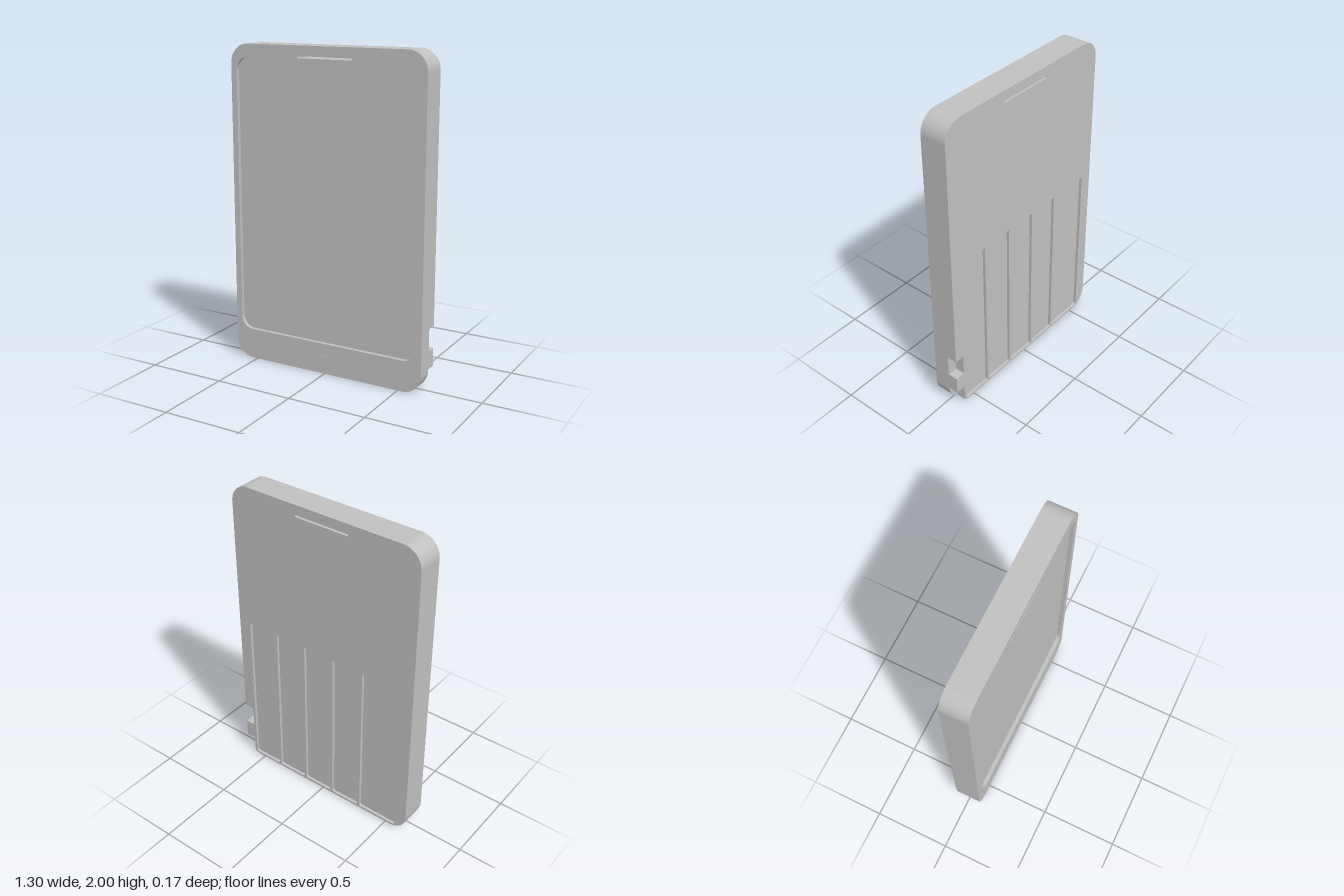
import * as THREE from 'three';

const W = 0.65, H = 2, R = 0.12;          // body half width, height, corner radius
const BACK = -0.085, FRONT = 0.085;
const NOTCH_X = 0.585, NOTCH_Z = -0.02;   // inner wall and floor of the side notches
const POCKET_Z = -0.067, SCREEN_Z = 0.06; // recess floors

// Rounded rectangle drawn counter-clockwise
function roundedRect(path, x0, y0, x1, y1, r) {
  path.moveTo(x0 + r, y0);
  path.lineTo(x1 - r, y0);
  path.absarc(x1 - r, y0 + r, r, -Math.PI / 2, 0);
  path.lineTo(x1, y1 - r);
  path.absarc(x1 - r, y1 - r, r, 0, Math.PI / 2);
  path.lineTo(x0 + r, y1);
  path.absarc(x0 + r, y1 - r, r, Math.PI / 2, Math.PI);
  path.lineTo(x0, y0 + r);
  path.absarc(x0 + r, y0 + r, r, Math.PI, Math.PI * 1.5);
  return path;
}

// Body outline with the two notches cut into the left (+x) edge
function notchedOutline() {
  const s = new THREE.Shape();
  const cx = W - R;
  s.moveTo(-cx, 0);
  s.lineTo(cx, 0);
  s.absarc(cx, R, R, -Math.PI / 2, -Math.acos((NOTCH_X - cx) / R));
  s.lineTo(NOTCH_X, 0.125);
  s.lineTo(W, 0.125);
  s.lineTo(W, 0.24);
  s.lineTo(NOTCH_X, 0.24);
  s.lineTo(NOTCH_X, 0.38);
  s.lineTo(W, 0.38);
  s.lineTo(W, H - R);
  s.absarc(cx, H - R, R, 0, Math.PI / 2);
  s.lineTo(-cx, H);
  s.absarc(-cx, H - R, R, Math.PI / 2, Math.PI);
  s.lineTo(-W, R);
  s.absarc(-cx, R, R, Math.PI, Math.PI * 1.5);
  return s;
}

const fullOutline = () => roundedRect(new THREE.Shape(), -W, 0, W, H, R);

// Thin slot that runs through the whole body
const slot = () => roundedRect(new THREE.Path(), -0.183, 1.926, 0.183, 1.938, 0.002);

export function createModel() {
  const group = new THREE.Group();
  const grey = new THREE.MeshStandardMaterial({ color: 0xc0c0c0 });
  grey.name = 'light grey';

  function layer(name, shape, holes, z0, z1) {
    shape.holes.push(slot(), ...holes);
    const geo = new THREE.ExtrudeGeometry(shape, { depth: z1 - z0, bevelEnabled: false, curveSegments: 12 });
    geo.translate(0, 0, z0);
    const mesh = new THREE.Mesh(geo, grey);
    mesh.name = name;
    group.add(mesh);
  }

  // Five pockets in the back, the last one wider
  const pockets = [];
  for (let i = 0; i < 5; i++) {
    const right = 0.567 - i * 0.216;
    const left = i < 4 ? right - 0.2 : -0.57;
    pockets.push(roundedRect(new THREE.Path(), left, 0.015, right, 1.07, 0.012));
  }

  // Screen opening and a row of four pinholes below it
  const frontHoles = [roundedRect(new THREE.Path(), -0.612, 0.195, 0.612, 1.92, 0.08)];
  for (let i = 0; i < 4; i++) {
    frontHoles.push(new THREE.Path().absarc(-0.051 + i * 0.034, 0.12, 0.004, 0, Math.PI * 2));
  }

  layer('backPanelWithPockets', notchedOutline(), pockets, BACK, POCKET_Z);
  layer('rearBody', notchedOutline(), [], POCKET_Z, NOTCH_Z);
  layer('middleBody', fullOutline(), [], NOTCH_Z, SCREEN_Z);
  layer('frontBezel', fullOutline(), frontHoles, SCREEN_Z, FRONT);

  return group;
}
